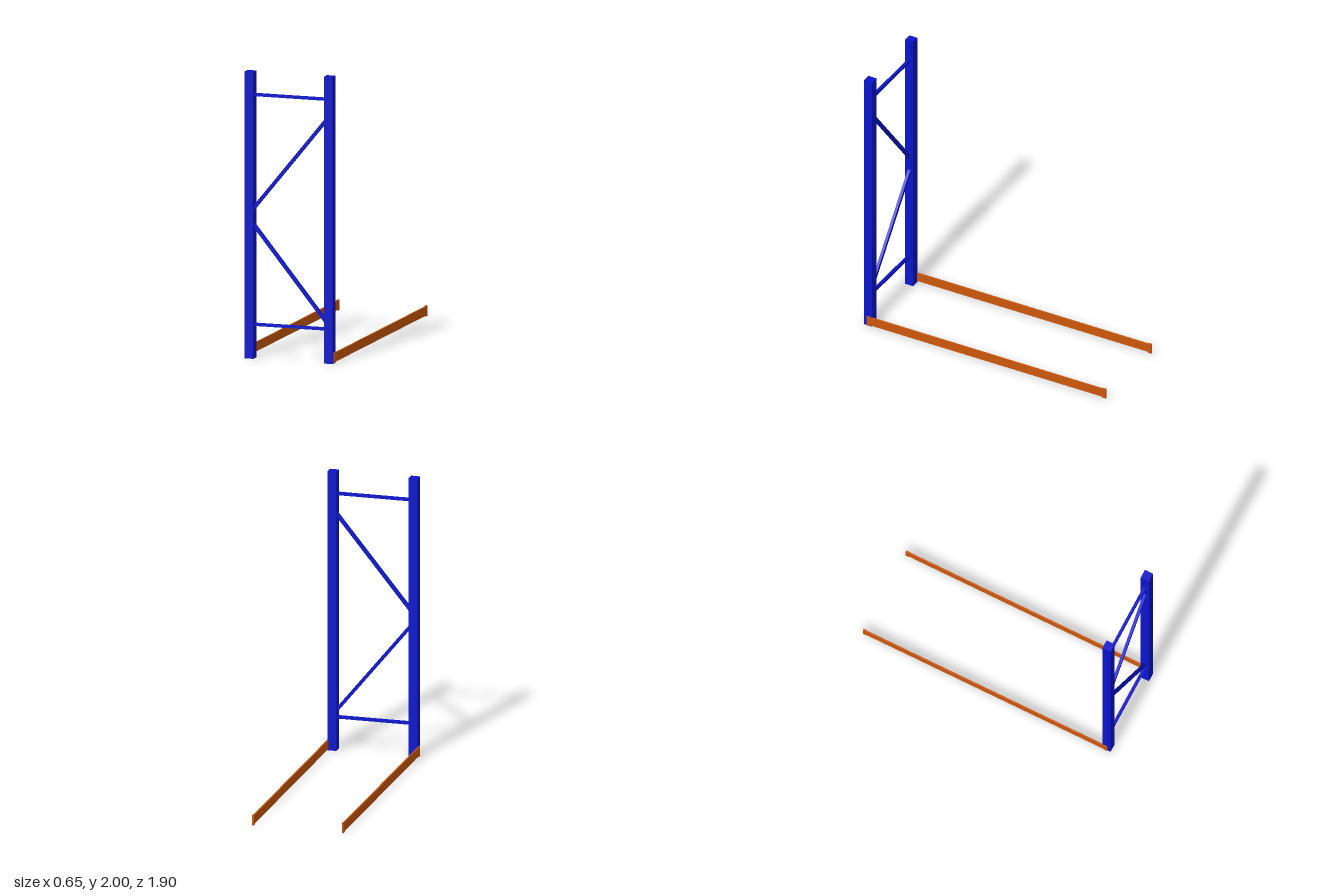
import * as THREE from 'three';

export function createModel() {
  const model = new THREE.Group();
  const blue = new THREE.MeshStandardMaterial({ color: 0x0a14cc });
  const orange = new THREE.MeshStandardMaterial({ color: 0xcc580c });

  const box = (name, material, size, position) => {
    const mesh = new THREE.Mesh(new THREE.BoxGeometry(...size), material);
    mesh.name = name;
    mesh.position.set(...position);
    model.add(mesh);
    return mesh;
  };

  const frameZ = 0.92, postX = 0.289, postWidth = 0.063;

  // Square bar in the frame plane between two points
  const brace = (name, x1, y1, x2, y2, thickness) => {
    const length = Math.hypot(x2 - x1, y2 - y1);
    const bar = box(name, blue, [length, thickness, 0.02], [(x1 + x2) / 2, (y1 + y2) / 2, frameZ]);
    bar.rotation.z = Math.atan2(y2 - y1, x2 - x1);
  };

  for (const [side, s] of [['left', 1], ['right', -1]]) {
    // Upright post
    box(side + 'Post', blue, [postWidth, 2, postWidth], [s * postX, 1, frameZ]);

    // Long beam with a slightly taller connector plate at each end
    box(side + 'Beam', orange, [0.01, 0.064, 1.87], [s * 0.321, 0.041, -0.01]);
    for (const [end, z] of [['Front', 0.915], ['Back', -0.938]]) {
      box(side + end + 'Connector', orange, [0.013, 0.074, 0.026], [s * 0.321, 0.04, z]);
    }
  }

  // Horizontal braces
  brace('lowerCrossBar', -postX, 0.236, postX, 0.236, 0.02);
  brace('upperCrossBar', -postX, 1.838, postX, 1.838, 0.02);

  // Diagonal braces meeting at the middle of the right post
  brace('lowerDiagonal', -0.28, 0.952, 0.28, 0.266, 0.024);
  brace('upperDiagonal', -0.28, 1.026, 0.28, 1.712, 0.024);

  return model;
}
